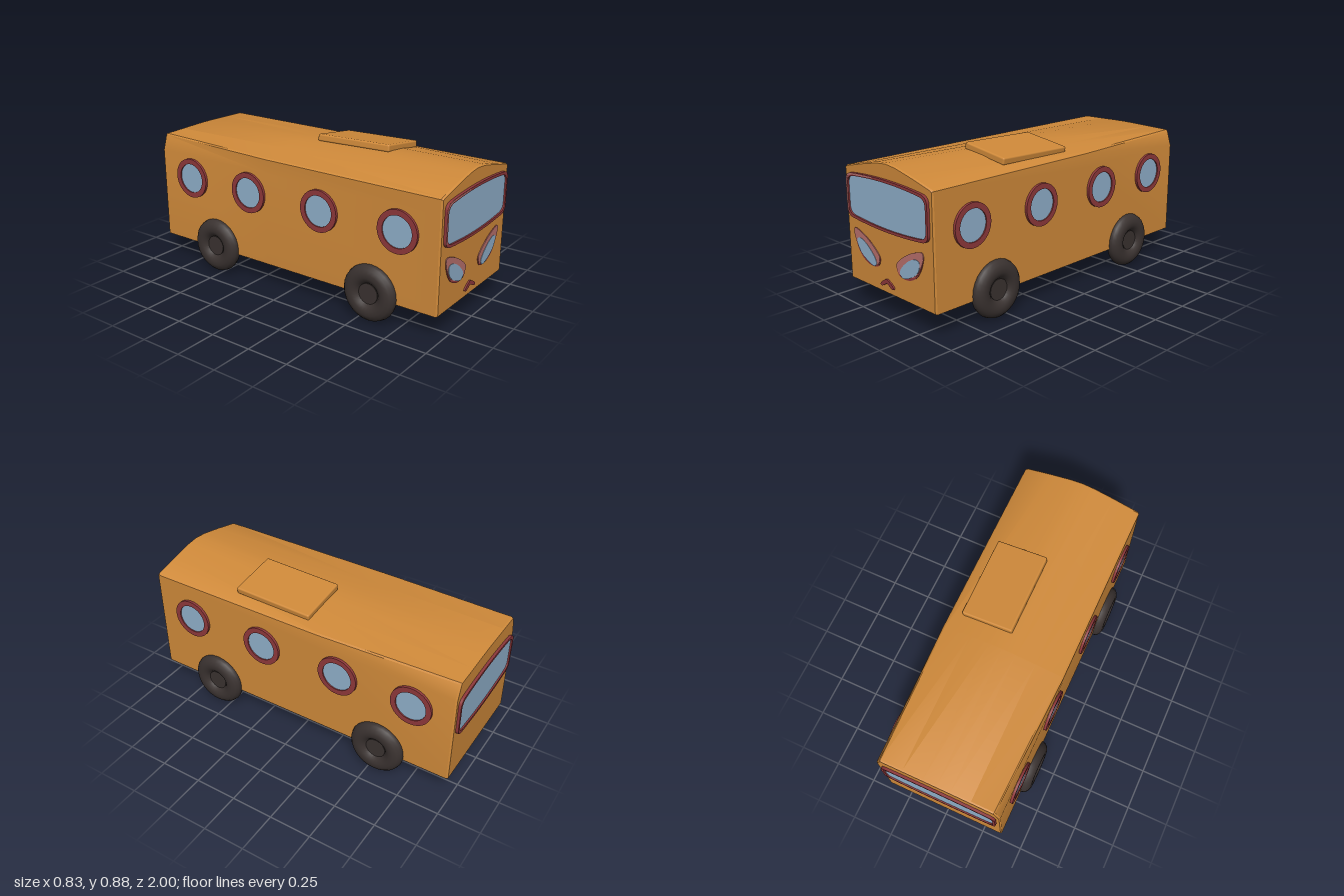
import * as THREE from 'three';
import { toCreasedNormals } from 'three/addons/utils/BufferGeometryUtils.js';
import { RoundedBoxGeometry } from 'three/addons/geometries/RoundedBoxGeometry.js';

const material = (name, color) => {
  const m = new THREE.MeshStandardMaterial({ color });
  m.name = name;
  return m;
};

function mesh(name, geometry, mat, parent, x = 0, y = 0, z = 0) {
  const m = new THREE.Mesh(geometry, mat);
  m.name = name;
  m.position.set(x, y, z);
  parent.add(m);
  return m;
}

const extrude = (shape, depth) =>
  new THREE.ExtrudeGeometry(shape, { depth, bevelEnabled: false, curveSegments: 24 });

// Closed smooth outline through [x, y] points
function blob(points, mirror = 1, shift = 0) {
  const pts = points.map(([x, y]) => new THREE.Vector3(x * mirror + shift, y, 0));
  const curve = new THREE.CatmullRomCurve3(pts, true);
  return new THREE.Shape(curve.getPoints(60).slice(0, -1).map(p => new THREE.Vector2(p.x, p.y)));
}

// Barrel-sided rounded window outline
function windowOutline(inset) {
  const w = 0.343 - inset, h = 0.14 - inset, e = h - 0.015, c = w - 0.05;
  const s = new THREE.Shape();
  s.moveTo(-c, -e);
  s.quadraticCurveTo(0, -h - 0.015, c, -e);
  s.quadraticCurveTo(w, -e + 0.005, w, -e + 0.05);
  s.lineTo(w, e - 0.05);
  s.quadraticCurveTo(w, e - 0.005, c, e);
  s.quadraticCurveTo(0, h + 0.015, -c, e);
  s.quadraticCurveTo(-w, e - 0.005, -w, e - 0.05);
  s.lineTo(-w, -e + 0.05);
  s.quadraticCurveTo(-w, -e + 0.005, -c, -e);
  return s;
}

// Body lofted through half profiles from front to back
function bodyGeometry() {
  const front = [[0.368, 0.14], [0.368, 0.7], [0.368, 0.782], [0.358, 0.79], [0.2, 0.828], [0.08, 0.853], [0, 0.861]];
  const middle = [[0.368, 0.14], [0.368, 0.7], [0.368, 0.782], [0.358, 0.789], [0.2, 0.812], [0.08, 0.825], [0, 0.828]];
  const back = [[0.368, 0.14], [0.368, 0.7], [0.34, 0.788], [0.333, 0.796], [0.2, 0.799], [0.08, 0.802], [0, 0.803]];
  const ring = (half, z, k = 1) =>
    [...half, ...half.slice(0, -1).reverse().map(([x, y]) => [-x, y])]
      .map(([x, y]) => [x * k, 0.47 + (y - 0.47) * k, z]);
  const rings = [ring(front, 0.983, 0.985), ring(front, 0.973), ring(middle, -0.15),
    ring(back, -0.973), ring(back, -0.983, 0.985)];
  const pos = [], n = rings[0].length, last = rings.length - 1;
  const tri = (...corners) => corners.forEach(p => pos.push(...p));
  for (let i = 0; i < last; i++) {
    for (let j = 0; j < n; j++) {
      const k = (j + 1) % n;
      const a = rings[i][j], b = rings[i][k], c = rings[i + 1][k], d = rings[i + 1][j];
      tri(a, d, b);
      tri(b, d, c);
    }
  }
  for (let j = 1; j < n - 1; j++) {
    tri(rings[0][0], rings[0][j], rings[0][j + 1]);
    tri(rings[last][0], rings[last][j + 1], rings[last][j]);
  }
  const g = new THREE.BufferGeometry();
  g.setAttribute('position', new THREE.Float32BufferAttribute(pos, 3));
  return toCreasedNormals(g, 0.45);
}

export function createModel() {
  const bus = new THREE.Group();
  bus.name = 'bus';
  const orange = material('orange paint', 0xd08a3a);
  const red = material('red trim', 0x8f383b);
  const pink = material('pink trim', 0xba716d);
  const glass = material('blue glass', 0x90b0cb);
  const rubber = material('dark rubber', 0x3a3230);

  mesh('body', bodyGeometry(), orange, bus);

  // Roof hatch, tilted with the roof
  const hatch = mesh('roofHatch', new RoundedBoxGeometry(0.31, 0.042, 0.49, 2, 0.01), orange, bus, 0.145, 0.836, 0.197);
  hatch.rotation.set(-0.03, 0, -0.135);

  // Windscreen and rear window
  const frame = windowOutline(0);
  frame.holes.push(windowOutline(0.015));
  for (const [name, y, turn] of [['windscreen', 0.635, 0], ['rearWindow', 0.565, Math.PI]]) {
    const g = new THREE.Group();
    g.name = name;
    g.position.y = y;
    g.rotation.y = turn;
    bus.add(g);
    mesh(name + 'Frame', extrude(frame, 0.023), red, g, 0, 0, 0.976);
    mesh(name + 'Glass', extrude(windowOutline(0.014), 0.009), glass, g, 0, 0, 0.981);
  }

  // Light strip on the windscreen frame
  const strip = new THREE.Shape([[-0.343, 0.54], [-0.333, 0.54], [-0.333, 0.715], [-0.322, 0.738], [-0.288, 0.751],
    [-0.1, 0.765], [-0.1, 0.771], [-0.293, 0.76], [-0.33, 0.748], [-0.343, 0.715]].map(p => new THREE.Vector2(...p)));
  mesh('windscreenHighlight', extrude(strip, 0.001), pink, bus, 0, 0, 0.999);

  // Eye-shaped headlights: red rim, pink lid, glass
  const rim = [[0.06, 0.33], [0.08, 0.355], [0.15, 0.405], [0.22, 0.437], [0.278, 0.449], [0.287, 0.43],
    [0.27, 0.365], [0.23, 0.305], [0.18, 0.275], [0.13, 0.266], [0.08, 0.277], [0.062, 0.305]];
  const lid = [[0.062, 0.332], [0.08, 0.355], [0.15, 0.405], [0.22, 0.437], [0.278, 0.449], [0.287, 0.43],
    [0.267, 0.37], [0.223, 0.311], [0.175, 0.288], [0.13, 0.278], [0.085, 0.284], [0.068, 0.305]];
  const lens = [[0.091, 0.292], [0.1, 0.317], [0.135, 0.353], [0.18, 0.385], [0.23, 0.402], [0.255, 0.393],
    [0.255, 0.363], [0.235, 0.328], [0.19, 0.295], [0.14, 0.274], [0.108, 0.272]];
  for (const [side, mirror, shift] of [['left', 1, 0], ['right', -1, -0.023]]) {
    mesh(side + 'EyeRim', extrude(blob(rim, mirror, shift), 0.007), red, bus, 0, 0, 0.979);
    mesh(side + 'EyeLid', extrude(blob(lid, mirror, shift), 0.008), pink, bus, 0, 0, 0.98);
    mesh(side + 'EyeLens', extrude(blob(lens, mirror, shift), 0.009), glass, bus, 0, 0, 0.981);
  }

  // Mouth
  const mouth = blob([[-0.083, 0.184], [-0.075, 0.198], [-0.04, 0.221], [-0.027, 0.225], [-0.014, 0.221], [0.025, 0.198],
    [0.034, 0.184], [0.022, 0.179], [0, 0.188], [-0.025, 0.201], [-0.05, 0.188], [-0.07, 0.179]]);
  mesh('mouth', extrude(mouth, 0.013), red, bus, 0, 0, 0.979);

  // Portholes and wheels on both sides
  const ringShape = new THREE.Shape().absarc(0, 0, 0.122, 0, Math.PI * 2);
  ringShape.holes.push(new THREE.Path().absarc(0, 0, 0.09, 0, Math.PI * 2, true));
  const ringGeometry = extrude(ringShape, 0.021);
  const paneGeometry = extrude(new THREE.Shape().absarc(0, 0, 0.091, 0, Math.PI * 2), 0.009);
  const tyreGeometry = new THREE.TorusGeometry(0.11, 0.055, 14, 28).scale(1, 1, 0.82);
  const hubGeometry = new THREE.CylinderGeometry(0.06, 0.06, 0.03, 24).rotateX(Math.PI / 2);
  for (const [side, s] of [['left', 1], ['right', -1]]) {
    const place = (name, x, y, z) => {
      const g = new THREE.Group();
      g.name = side + name;
      g.position.set(s * x, y, z);
      g.rotation.y = s * Math.PI / 2;
      bus.add(g);
      return g;
    };
    for (const z of [0.735, 0.23, -0.28, -0.735]) {
      const g = place('Porthole', 0.362, 0.56, z);
      mesh('portholeRing', ringGeometry, red, g);
      mesh('portholeGlass', paneGeometry, glass, g, 0, 0, 0.005);
    }
    for (const z of [0.573, -0.545]) {
      const g = place('Wheel', 0.37, 0.167, z);
      mesh('tyre', tyreGeometry, rubber, g);
      mesh('hub', hubGeometry, rubber, g, 0, 0, 0.008);
    }
  }
  return bus;
}
